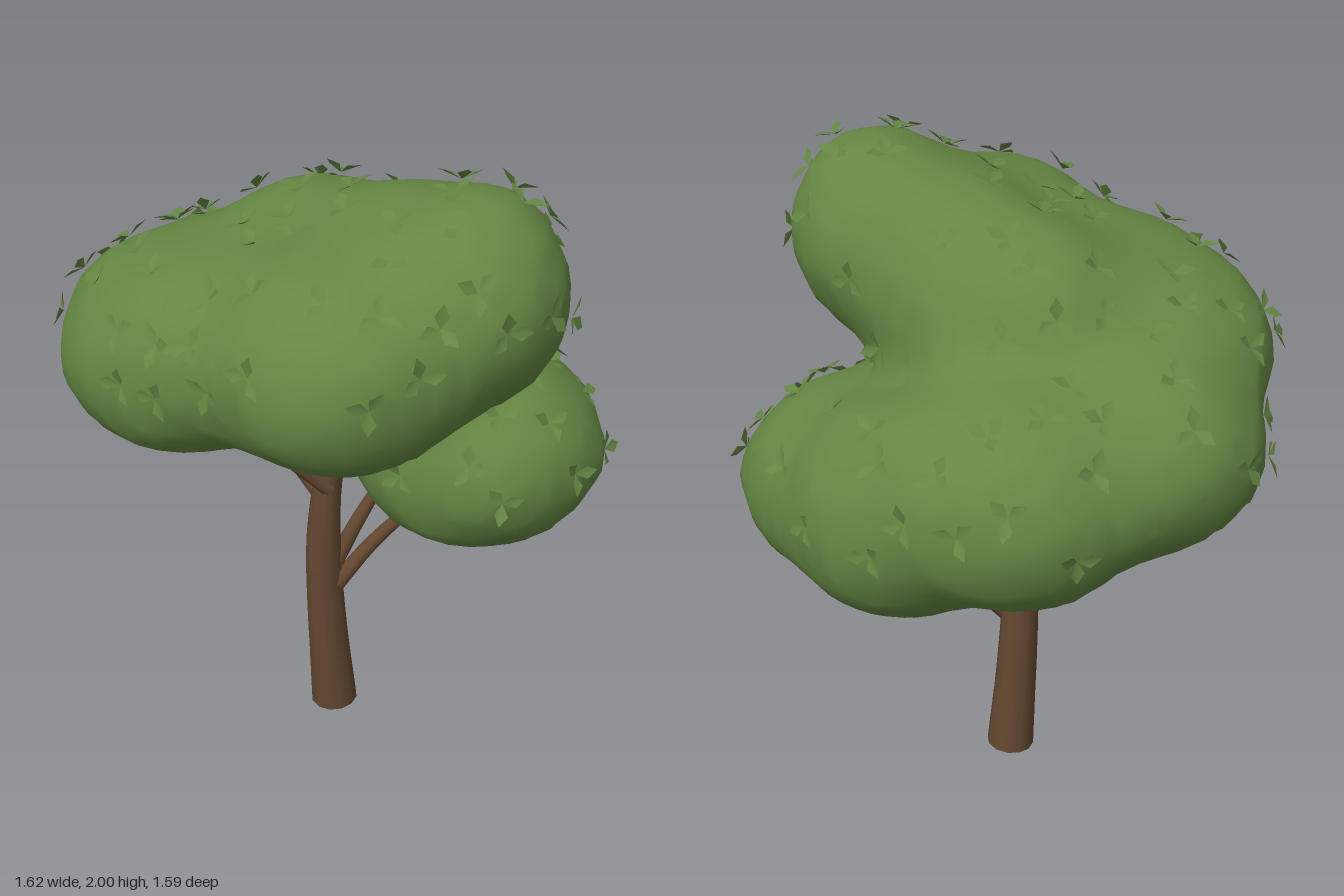
import * as THREE from 'three';
import { mergeGeometries } from 'three/addons/utils/BufferGeometryUtils.js';

const V = (x, y, z) => new THREE.Vector3(x, y, z);
const bark = new THREE.MeshStandardMaterial({ color: 0x644830 });
const foliage = new THREE.MeshStandardMaterial({ color: 0x658643 });
const leafGreen = new THREE.MeshStandardMaterial({ color: 0x658643, side: THREE.DoubleSide });

let seed = 7;
const rand = () => (seed = (seed * 16807) % 2147483647) / 2147483647;

// Foliage masses, spiralling down from the high front lobe: [centre, radii]
const blobs = [
  [V(0.40, 1.66, 0.27), V(0.27, 0.30, 0.29)], // high right
  [V(0.18, 1.58, 0.13), V(0.30, 0.31, 0.27)], // high middle
  [V(0.09, 1.53, 0.43), V(0.36, 0.30, 0.345)], // front
  [V(-0.24, 1.46, 0.28), V(0.32, 0.27, 0.32)], // front left
  [V(-0.43, 1.38, 0.13), V(0.34, 0.30, 0.38)], // left
  [V(-0.42, 1.27, -0.24), V(0.33, 0.30, 0.33)], // back left
  [V(-0.06, 1.20, -0.42), V(0.40, 0.32, 0.355)], // back
  [V(0.26, 1.07, -0.33), V(0.31, 0.33, 0.31)], // back right
  [V(0.40, 1.01, -0.08), V(0.38, 0.31, 0.35)], // low right
  [V(-0.06, 1.50, -0.03), V(0.34, 0.32, 0.29)], // crown middle
];

// Signed distance to the smoothly joined, slightly lumpy masses
function field(p) {
  let d = Infinity;
  for (const [c, r] of blobs) {
    const q = p.clone().sub(c).divide(r);
    const k0 = q.length();
    const k1 = q.divide(r).length();
    const e = k1 < 1e-6 ? -0.3 : (k0 * (k0 - 1)) / k1;
    const k = 0.13, h = Math.max(k - Math.abs(d - e), 0) / k;
    d = d === Infinity ? e : Math.min(d, e) - h * h * k * 0.25;
  }
  return d + 0.01 * Math.sin(p.x * 13 + 1) * Math.sin(p.y * 14) * Math.sin(p.z * 12 + 2);
}

// Surface nets: one vertex per grid cell the surface crosses, one quad per crossed grid edge
function canopyGeometry() {
  const h = 0.065, n = 30, o = V(-0.975, 0.5, -0.975);
  const step = [1, n, n * n];
  const at = (i) => V(i % n, Math.floor(i / n) % n, Math.floor(i / (n * n)));
  const values = Array.from({ length: n ** 3 }, (_, i) => field(at(i).multiplyScalar(h).add(o)));
  const corner = (b) => (b & 1) + ((b >> 1) & 1) * n + (b >> 2) * n * n;
  const ids = new Map(), positions = [], index = [];
  for (let i = 0; i < n ** 3; i++) {
    const g = at(i);
    if (Math.max(g.x, g.y, g.z) > n - 2) continue;
    const sum = V(0, 0, 0);
    let hits = 0;
    for (let b = 0; b < 8; b++) {
      for (let a = 0; a < 3; a++) {
        if (b & (1 << a)) continue;
        const p = i + corner(b), q = p + step[a];
        if (values[p] < 0 === values[q] < 0) continue;
        sum.add(at(p).lerp(at(q), values[p] / (values[p] - values[q])));
        hits++;
      }
    }
    if (!hits) continue;
    ids.set(i, positions.length / 3);
    positions.push(...sum.divideScalar(hits).multiplyScalar(h).add(o).toArray());
  }
  for (let i = 0; i < n ** 3; i++) {
    const g = at(i);
    if (Math.min(g.x, g.y, g.z) < 1 || Math.max(g.x, g.y, g.z) > n - 2) continue;
    for (let a = 0; a < 3; a++) {
      const inside = values[i] < 0;
      if (inside === values[i + step[a]] < 0) continue;
      const u = step[(a + 1) % 3], v = step[(a + 2) % 3];
      const quad = [i - u - v, i - v, i, i - u].map((c) => ids.get(c));
      if (!inside) quad.reverse();
      index.push(quad[0], quad[1], quad[2], quad[0], quad[2], quad[3]);
    }
  }
  const geometry = new THREE.BufferGeometry();
  geometry.setAttribute('position', new THREE.Float32BufferAttribute(positions, 3));
  geometry.setIndex(index);
  geometry.computeVertexNormals();
  return geometry;
}

// Round limb along a curve, with its radius easing through the given values
function limb(name, points, radii, segments, sides) {
  const curve = new THREE.CatmullRomCurve3(points);
  const geometry = new THREE.TubeGeometry(curve, segments, 1, sides);
  const pos = geometry.attributes.position, p = V(0, 0, 0);
  for (let i = 0; i < pos.count; i++) {
    const t = Math.floor(i / (sides + 1)) / segments;
    const f = t * (radii.length - 1), k = Math.min(Math.floor(f), radii.length - 2);
    const r = THREE.MathUtils.lerp(radii[k], radii[k + 1], f - k);
    const c = curve.getPointAt(t);
    p.fromBufferAttribute(pos, i).sub(c).multiplyScalar(r).add(c);
    pos.setXYZ(i, p.x, p.y, p.z);
  }
  const mesh = new THREE.Mesh(geometry, bark);
  mesh.name = name;
  return mesh;
}

// Small sprigs of three diamond leaves scattered over the canopy
function leafGeometry(canopy) {
  const diamond = new THREE.BufferGeometry();
  diamond.setAttribute('position', new THREE.Float32BufferAttribute(
    [0, 0, 0, -0.02, 0.006, 0.035, 0, 0, 0.068, 0.02, 0.006, 0.035], 3));
  diamond.setIndex([0, 2, 1, 0, 3, 2]);
  diamond.computeVertexNormals();
  const pos = canopy.attributes.position, nor = canopy.attributes.normal;
  const placed = [], leaves = [];
  for (let tries = 0; tries < 4000 && placed.length < 85; tries++) {
    const i = Math.floor(rand() * pos.count);
    const p = V(0, 0, 0).fromBufferAttribute(pos, i), n = V(0, 0, 0).fromBufferAttribute(nor, i);
    if (n.y < -0.1 || field(p.clone().addScaledVector(n, 0.08)) < 0.05) continue;
    if (placed.some((q) => q.distanceTo(p) < 0.11)) continue;
    placed.push(p);
    const sprig = new THREE.Matrix4().compose(p.clone().addScaledVector(n, 0.008),
      new THREE.Quaternion().setFromUnitVectors(V(0, 1, 0), n), V(1, 1, 1));
    const turn = rand() * Math.PI * 2;
    for (let k = 0; k < 3; k++) {
      leaves.push(diamond.clone().rotateX(-0.1 - rand() * 0.4)
        .rotateY(turn + k * 1.9 + rand() * 0.4).applyMatrix4(sprig));
    }
  }
  return mergeGeometries(leaves);
}

export function createModel() {
  const tree = new THREE.Group();
  tree.name = 'tree';

  // Trunk and its underside
  tree.add(limb('trunk',
    [V(-0.018, 0.005, -0.015), V(-0.038, 0.35, 0), V(-0.045, 0.62, 0.01), V(-0.03, 0.86, 0.01), V(0, 1.0, 0.01), V(0.01, 1.3, 0.01)],
    [0.075, 0.066, 0.06, 0.054, 0.043, 0.022, 0.012], 24, 12));
  const base = new THREE.Mesh(new THREE.CircleGeometry(0.075, 12).rotateX(Math.PI / 2), bark);
  base.name = 'trunkBase';
  base.position.set(-0.018, 0.005, -0.015);
  tree.add(base);

  // Branches reaching into the foliage
  const branches = [
    [V(0, 0.49, 0.015), V(0.1, 0.62, -0.04), V(0.3, 0.82, -0.12)],
    [V(-0.01, 0.56, 0), V(0.05, 0.69, -0.04), V(0.14, 0.86, -0.1)],
    [V(-0.03, 0.77, 0), V(-0.17, 0.9, -0.07), V(-0.38, 1.1, -0.17)],
    [V(-0.02, 0.85, 0.03), V(-0.14, 0.98, 0.08), V(-0.34, 1.23, 0.15)],
  ];
  branches.forEach((points, i) => tree.add(limb('branch' + (i + 1), points, [0.027, 0.022, 0.015], 8, 8)));

  // Foliage
  const shape = canopyGeometry();
  const canopy = new THREE.Mesh(shape, foliage);
  canopy.name = 'canopy';
  const leaves = new THREE.Mesh(leafGeometry(shape), leafGreen);
  leaves.name = 'leaves';
  tree.add(canopy, leaves);
  return tree;
}
